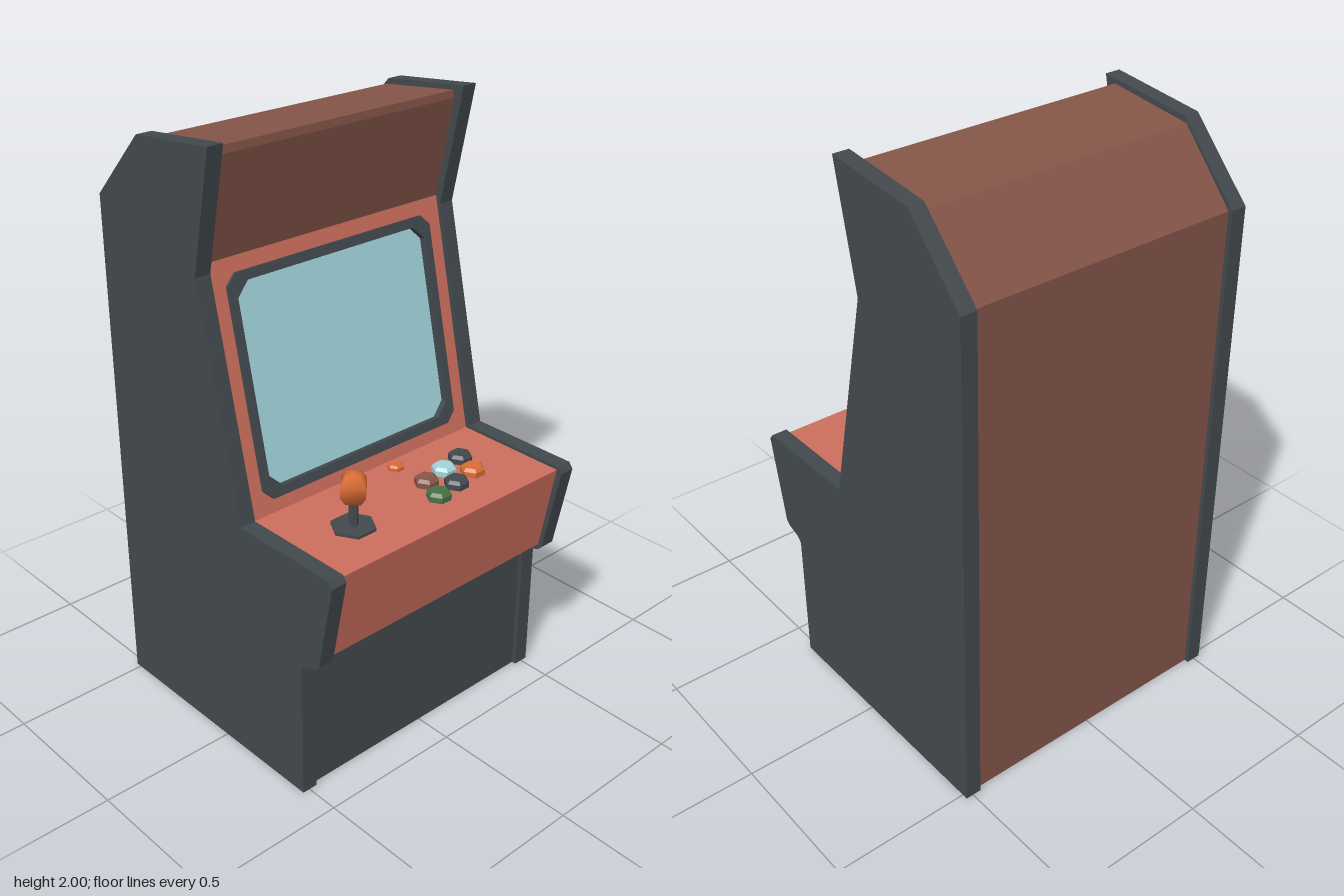
import * as THREE from 'three';

const mat = (name, color) => new THREE.MeshStandardMaterial({ name, color, side: THREE.DoubleSide });

export function createModel() {
  const charcoal = mat('charcoal', 0x42494d);
  const brown = mat('brown', 0x855549);
  const coral = mat('coral', 0xcd6f5d);
  const glass = mat('pale blue glass', 0xa2d4dc);
  const orange = mat('orange', 0xd86c34);
  const green = mat('green', 0x487044);

  const model = new THREE.Group();
  model.name = 'arcadeCabinet';
  const add = (name, geometry, material, parent = model) => {
    const mesh = new THREE.Mesh(geometry, material);
    mesh.name = name;
    parent.add(mesh);
    return mesh;
  };
  const facet = (geometry) => {
    const g = geometry.toNonIndexed();
    g.computeVertexNormals();
    return g;
  };

  // Side panels: profile as [z, y]
  const profile = [
    [0.385, 0], [-0.52, 0], [-0.52, 1.74], [-0.305, 1.965], [0.03, 2], [-0.055, 1.6],
    [0.115, 0.85], [0.51, 0.85], [0.525, 0.83], [0.465, 0.525], [0.45, 0.51], [0.405, 0.495], [0.385, 0.475],
  ];
  const sideShape = new THREE.Shape(profile.map(([z, y]) => new THREE.Vector2(-z, y)));
  const sideGeo = new THREE.ExtrudeGeometry(sideShape, { depth: 0.055, bevelEnabled: false });
  sideGeo.rotateY(Math.PI / 2);
  add('leftSidePanel', sideGeo, charcoal).position.x = 0.47;
  add('rightSidePanel', sideGeo, charcoal).position.x = -0.525;

  // Folded sheets spanning between the sides, following [z, y] points
  const W = 0.47;
  const sheet = (name, material, pts) => {
    const v = [];
    for (let i = 0; i < pts.length - 1; i++) {
      const [az, ay] = pts[i], [bz, by] = pts[i + 1];
      v.push(-W, ay, az, -W, by, bz, W, by, bz, -W, ay, az, W, by, bz, W, ay, az);
    }
    const g = new THREE.BufferGeometry();
    g.setAttribute('position', new THREE.Float32BufferAttribute(v, 3));
    g.computeVertexNormals();
    add(name, g, material);
  };
  sheet('backAndHood', brown, [
    [-0.505, 0], [-0.505, 1.735], [-0.315, 1.945], [-0.012, 1.98], [-0.01, 1.955], [-0.075, 1.625],
  ]);
  sheet('controlPanel', coral, [[0.1, 0.84], [0.505, 0.838], [0.45, 0.53]]);
  sheet('lowerFront', charcoal, [[0.45, 0.53], [0.37, 0.49], [0.37, 0]]);

  // Sloping screen panel with bezel and recessed glass
  const screen = new THREE.Group();
  screen.name = 'screen';
  screen.position.set(0, 0.84, 0.1);
  screen.rotation.x = -Math.atan2(0.175, 0.785);
  model.add(screen);
  const chamfered = (w, y0, y1, c) => [
    [-w + c, y0], [w - c, y0], [w, y0 + c], [w, y1 - c], [w - c, y1], [-w + c, y1], [-w, y1 - c], [-w, y0 + c],
  ].map(([x, y]) => new THREE.Vector2(x, y));
  const outer = chamfered(0.415, 0.046, 0.756, 0.035);
  const inner = chamfered(0.385, 0.078, 0.725, 0.045);

  const surround = new THREE.Shape([[-W, 0], [W, 0], [W, 0.804], [-W, 0.804]].map(([x, y]) => new THREE.Vector2(x, y)));
  surround.holes.push(new THREE.Path(outer));
  add('screenSurround', new THREE.ShapeGeometry(surround), coral, screen);

  const bezel = new THREE.Shape(outer);
  bezel.holes.push(new THREE.Path(inner));
  add('screenBezel', new THREE.ExtrudeGeometry(bezel, { depth: 0.03, bevelEnabled: false }), charcoal, screen).position.z = -0.02;
  add('screenGlass', new THREE.ShapeGeometry(new THREE.Shape(inner)), glass, screen).position.z = -0.012;

  // Joystick
  const stick = new THREE.Group();
  stick.name = 'joystick';
  stick.position.set(-0.26, 0.838, 0.325);
  model.add(stick);
  const base = new THREE.CylinderGeometry(0.073, 0.073, 0.01, 6, 1, false, Math.PI / 6);
  add('joystickBase', facet(base), charcoal, stick).position.y = 0.005;
  add('joystickShaft', facet(new THREE.CylinderGeometry(0.015, 0.015, 0.1, 6)), charcoal, stick).position.y = 0.055;
  add('joystickBall', new THREE.SphereGeometry(0.057, 4, 5), orange, stick).position.y = 0.137;

  // Hexagonal buttons with a chamfered rim
  const button = (name, material, x, z, r, h) => {
    const pts = [[r, 0], [r, h * 0.65], [r * 0.75, h], [0, h]].map(([a, b]) => new THREE.Vector2(a, b));
    const g = facet(new THREE.LatheGeometry(pts, 6, Math.PI / 6));
    add(name, g, material).position.set(x, 0.838, z);
  };
  [
    [brown, 0.09, 0.287], [glass, 0.187, 0.27], [charcoal, 0.285, 0.248],
    [green, 0.057, 0.375], [charcoal, 0.155, 0.357], [orange, 0.252, 0.335],
  ].forEach(([m, x, z], i) => button('actionButton' + (i + 1), m, x, z, 0.041, 0.03));
  for (const x of [-0.091, 0.088]) button('startButton', orange, x, 0.148, 0.028, 0.02);

  return model;
}
